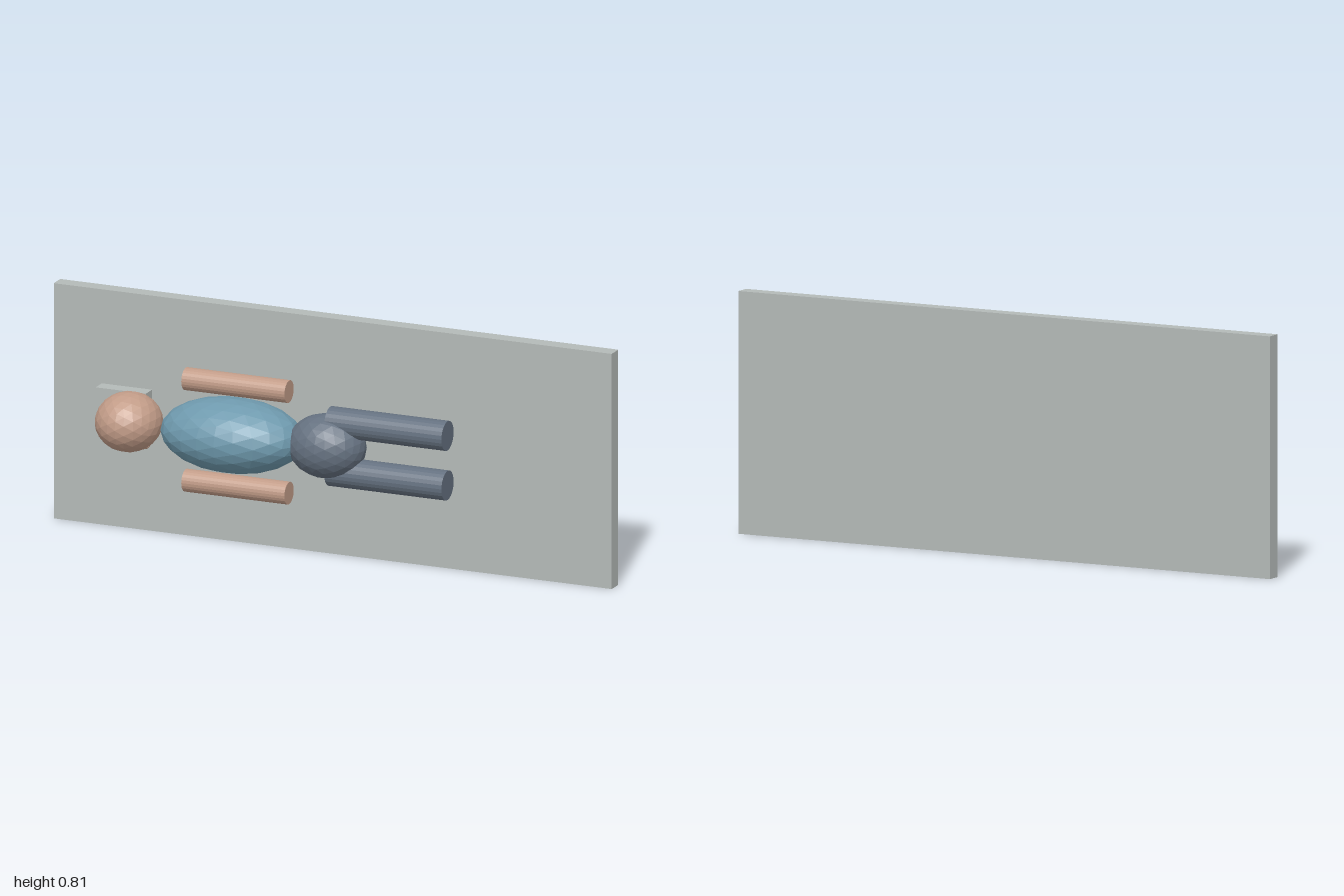
import * as THREE from 'three';

export function createModel() {
  const model = new THREE.Group();
  model.name = 'recliningFigure';

  const paint = (name, color) => {
    const m = new THREE.MeshStandardMaterial({ color, flatShading: true });
    m.name = name;
    return m;
  };
  const grey = paint('boardGrey', 0xb4bab8);
  const skin = paint('skin', 0xc29c88);
  const blue = paint('shirtBlue', 0x6f9aae);
  const slate = paint('trouserSlate', 0x657180);

  const add = (name, geometry, material, x, y, z) => {
    const mesh = new THREE.Mesh(geometry, material);
    mesh.name = name;
    mesh.position.set(x, y, z);
    model.add(mesh);
    return mesh;
  };
  // Faceted ellipsoid with radii rx, ry, rz
  const blob = (rx, ry, rz, detail = 3) =>
    new THREE.IcosahedronGeometry(1, detail).scale(rx, ry, rz);
  // Rod lying along x
  const rod = (radius, length) =>
    new THREE.CylinderGeometry(radius, radius, length, 24).rotateZ(Math.PI / 2);

  // Upright board and pillow
  add('board', new THREE.BoxGeometry(2, 0.806, 0.053), grey, 0, 0.403, -0.144);
  add('pillow', new THREE.BoxGeometry(0.18, 0.165, 0.05), grey, -0.73, 0.407, -0.075);

  // Head, torso and hips
  add('head', blob(0.112, 0.1, 0.117), skin, -0.675, 0.406, 0.009);
  add('torso', blob(0.25, 0.124, 0.157), blue, -0.302, 0.406, 0.012);
  add('hips', blob(0.135, 0.108, 0.106), slate, 0.03, 0.405, -0.002);

  // Arms and legs on both sides
  for (const [side, s] of [['left', 1], ['right', -1]]) {
    add(side + 'Arm', rod(0.038, 0.37), skin, -0.285, 0.405 + s * 0.174, 0.011);
    add(side + 'Leg', rod(0.05, 0.42), slate, 0.25, 0.405 + s * 0.085, -0.007);
  }

  // Small flat pads behind the body
  const pads = [
    ['headPad', -0.675, 0.303, -0.102],
    ['backPad', -0.31, 0.272, -0.097],
    ['hipPad', 0.01, 0.29, -0.1],
    ['heelPad', 0.27, 0.316, -0.106],
  ];
  for (const [name, x, y, z] of pads) {
    add(name, blob(0.03, 0.023, 0.01, 1), skin, x, y, z);
  }

  return model;
}
